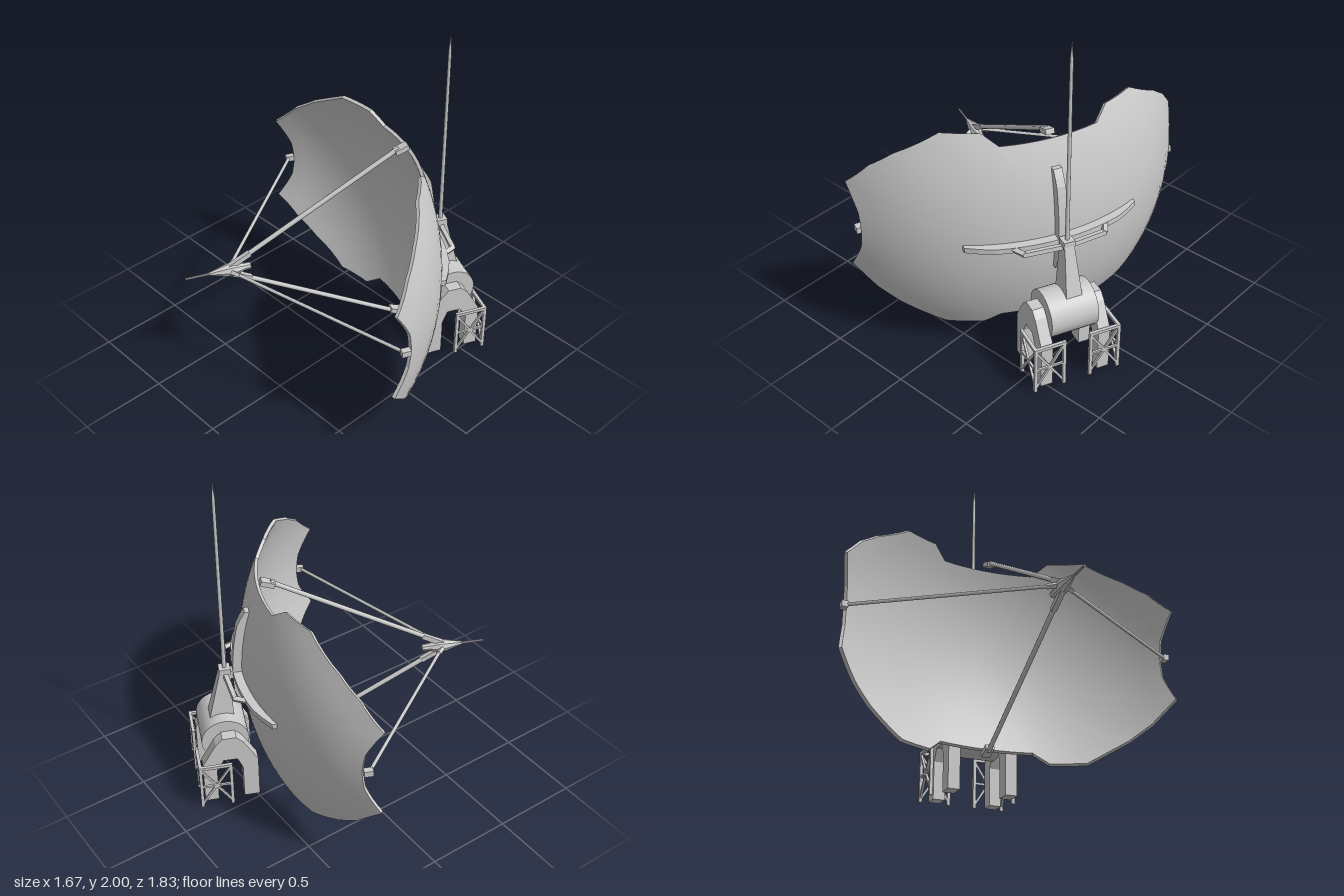
import * as THREE from 'three';

const mat = new THREE.MeshStandardMaterial({ color: 0xcccccc });
const flat = new THREE.MeshStandardMaterial({ color: 0xcccccc, flatShading: true });
const V = (x, y, z) => new THREE.Vector3(x, y, z);

// Depth of the reflector's back surface at (u, y)
const CZ = 0.634, R = 1.184, FLAT = 0.88;
const dishZ = (u, y) => CZ - Math.sqrt(R * R - u * u - (FLAT * y) ** 2);

function add(parent, name, geo, material = mat) {
  const m = new THREE.Mesh(geo, material);
  m.name = name;
  parent.add(m);
  return m;
}

function box(parent, name, w, h, d, x, y, z) {
  const m = add(parent, name, new THREE.BoxGeometry(w, h, d), flat);
  m.position.set(x, y, z);
  return m;
}

// Straight square or round bar between two points
function bar(parent, name, a, b, r, sides = 4, r2 = r) {
  const geo = new THREE.CylinderGeometry(r2, r, a.distanceTo(b), sides);
  if (sides === 4) geo.rotateY(Math.PI / 4);
  const m = add(parent, name, geo, sides === 4 ? flat : mat);
  m.position.copy(a).add(b).multiplyScalar(0.5);
  m.quaternion.setFromUnitVectors(V(0, 1, 0), b.clone().sub(a).normalize());
  return m;
}

// Profile extruded symmetrically about z = 0
function slab(points, depth) {
  const shape = new THREE.Shape(points.map(p => new THREE.Vector2(p[0], p[1])));
  return new THREE.ExtrudeGeometry(shape, { depth, bevelEnabled: false }).translate(0, 0, -depth / 2);
}

// Curved rib following the back of the reflector; at(t) gives the surface depth
function ribProfile(t0, t1, at, height) {
  const top = [], low = [], n = 14;
  for (let i = 0; i <= n; i++) {
    const t = t0 + (t1 - t0) * i / n;
    const taper = Math.min(1, 0.5 + 4 * Math.min(i, n - i) / n);
    top.push([t, at(t) + 0.01]);
    low.unshift([t, at(t) - height * taper]);
  }
  return top.concat(low);
}

// Curved shell with a notched outline
function reflector(parent) {
  const quarter = [[0.95, 0], [0.955, 0.115], [0.988, 0.275], [0.88, 0.41], [0.77, 0.5],
    [0.552, 0.63], [0.36, 0.63], [0.28, 0.56], [0, 0.56]];
  const half = quarter.concat(quarter.slice(0, -1).reverse().map(([u, y]) => [-u, y]));
  const corners = half.slice(0, -1).concat(half.slice(0, -1).map(([u, y]) => [-u, -y]));
  const loop = [], SUB = 4, RINGS = 14;
  corners.forEach((a, i) => {
    const b = corners[(i + 1) % corners.length];
    for (let s = 0; s < SUB; s++)
      loop.push([a[0] + (b[0] - a[0]) * s / SUB, a[1] + (b[1] - a[1]) * s / SUB]);
  });
  const N = loop.length, inner = 0.984;
  const point = (j, f, k) => {
    const u = loop[j % N][0] * f, y = loop[j % N][1] * f;
    return [u * k, y * k, CZ + (dishZ(u, y) - CZ) * k];
  };
  const build = (pos, idx) => {
    const g = new THREE.BufferGeometry();
    g.setAttribute('position', new THREE.Float32BufferAttribute(pos, 3));
    g.setIndex(idx);
    g.computeVertexNormals();
    return g;
  };
  for (const [name, k, front] of [['reflectorFront', inner, true], ['reflectorBack', 1, false]]) {
    const pos = point(0, 0, k), idx = [];
    const tri = (a, b, c) => front ? idx.push(a, b, c) : idx.push(a, c, b);
    for (let r = 1; r <= RINGS; r++)
      for (let j = 0; j < N; j++) {
        pos.push(...point(j, r / RINGS, k));
        const o = 1 + (r - 1) * N, p = o - N, n = (j + 1) % N;
        if (r === 1) tri(0, o + j, o + n);
        else { tri(p + j, o + j, o + n); tri(p + j, o + n, p + n); }
      }
    add(parent, name, build(pos, idx));
  }
  const pos = [], idx = [];
  for (let j = 0; j < N; j++) {
    const o = j * 4;
    pos.push(...point(j, 1, inner), ...point(j, 1, 1), ...point(j + 1, 1, 1), ...point(j + 1, 1, inner));
    idx.push(o, o + 1, o + 2, o, o + 2, o + 3);
  }
  add(parent, 'reflectorRim', build(pos, idx), flat);
}

// Open lattice panel between two ground points
function truss(parent, a, b, h) {
  const g = new THREE.Group();
  g.name = 'trussPanel';
  parent.add(g);
  const at = (t, y) => a.clone().lerp(b, t).setY(y);
  const r = 0.013;
  for (const t of [0, 1]) bar(g, 'trussPost', at(t, 0), at(t, h), r);
  bar(g, 'trussTopRail', at(0, h - 0.01), at(1, h - 0.01), r);
  bar(g, 'trussMidRail', at(0, h / 2), at(1, h / 2), 0.009);
  bar(g, 'trussDiagonal', at(0, 0.02), at(1, h - 0.02), 0.009);
  bar(g, 'trussDiagonal', at(1, 0.02), at(0, h - 0.02), 0.009);
}

export function createModel() {
  const model = new THREE.Group();
  model.name = 'dishAntenna';
  const body = new THREE.Group(); // local +z is the aim of the dish
  body.name = 'antennaBody';
  body.position.set(-0.045, 0, -0.01);
  body.rotation.y = -1.986;
  model.add(body);

  // Reflector and its back ribs
  const dish = new THREE.Group();
  dish.name = 'dish';
  dish.position.y = 0.775;
  body.add(dish);
  reflector(dish);
  add(dish, 'horizontalRib',
    slab(ribProfile(-0.51, 0.51, t => dishZ(t, 0), 0.05), 0.032).rotateX(Math.PI / 2), flat);
  const upright = ribProfile(-0.205, 0.415, t => dishZ(0, t), 0.05).map(([t, z]) => [z, t]);
  add(dish, 'verticalRib', slab(upright, 0.05).rotateY(-Math.PI / 2), flat);

  // Feed horn with its needle
  const profile = [[0, 0.5], [0.02, 0.5], [0.022, 0.54], [0.04, 0.6], [0.034, 0.64],
    [0.012, 0.73], [0.007, 0.74], [0.006, 0.87], [0, 0.87]].map(p => new THREE.Vector2(...p));
  add(dish, 'feedHorn', new THREE.LatheGeometry(profile, 8).rotateX(Math.PI / 2), flat);

  // Four feed struts with brackets at the rim
  for (const s of [-1, 1]) {
    bar(dish, 'sideStrut', V(s * 0.05, 0, 0.595), V(s * 0.962, 0, -0.04), 0.01, 8);
    bar(dish, 'sideStrutFoot', V(s * 0.02, 0, 0.62), V(s * 0.07, 0, 0.58), 0.016);
    box(dish, 'sideBracket', 0.035, 0.035, 0.05, s * 0.955, 0, -0.04);
    bar(dish, 'verticalStrut', V(0, s * 0.03, 0.6), V(0, s * 0.58, -0.37), 0.014, 8);
    bar(dish, 'verticalStrutFoot', V(0, s * 0.02, 0.62), V(0, s * 0.085, 0.5), 0.02);
    const b = box(dish, 'rimBracket', 0.05, 0.03, 0.08, 0, s * 0.575, -0.385);
    b.rotation.x = s * 0.35;
    // Braces from the pylon head to the horizontal rib
    bar(dish, 'ribBrace', V(0, 0, -0.645), V(s * 0.24, 0, -0.62), 0.018);
    bar(dish, 'ribBraceEnd', V(s * 0.235, 0, -0.625), V(s * 0.29, 0, -0.52), 0.018);
  }
  box(dish, 'dishMount', 0.05, 0.05, 0.12, 0, 0, -0.6);

  // Tapered pylon, widening backwards towards the drum
  const pylon = new THREE.BoxGeometry(1, 1, 1);
  const p = pylon.attributes.position;
  for (let i = 0; i < p.count; i++) {
    const top = p.getY(i) > 0;
    p.setXYZ(i, p.getX(i) * (top ? 0.055 : 0.1), top ? 0.8 : 0.45,
      p.getZ(i) * (top ? 0.06 : 0.15) - (top ? 0.645 : 0.685));
  }
  add(body, 'pylon', pylon, flat);
  box(body, 'pylonCap', 0.065, 0.04, 0.065, 0, 0.8, -0.645);

  // Mast with pointed tip
  bar(body, 'mast', V(0, 0.8, -0.645), V(0, 1.9, -0.645), 0.012, 10, 0.009);
  bar(body, 'mastTip', V(0, 1.9, -0.645), V(0, 2, -0.645), 0.009, 10, 0.001);

  // Base: drum, arched legs and corner trusses
  const base = new THREE.Group();
  base.name = 'base';
  base.position.set(0.02, 0, 0);
  body.add(base);
  const drum = add(base, 'drum', new THREE.CylinderGeometry(0.137, 0.137, 0.28, 32).rotateZ(Math.PI / 2));
  drum.position.set(0, 0.385, -0.675);
  const arch = [[-0.5, 0], [-0.5, 0.27], [-0.58, 0.41], [-0.62, 0.45], [-0.7, 0.45], [-0.74, 0.41],
    [-0.82, 0.27], [-0.82, 0], [-0.74, 0], [-0.74, 0.22], [-0.7, 0.29], [-0.62, 0.29], [-0.59, 0.22], [-0.59, 0]];
  for (const s of [-1, 1]) {
    const leg = add(base, 'archedLeg', slab(arch, 0.07).rotateY(-Math.PI / 2), flat);
    leg.position.x = s * 0.172;
    truss(base, V(s * 0.25, 0, -0.665), V(s * 0.25, 0, -0.84), 0.3);
    truss(base, V(s * 0.25, 0, -0.84), V(s * 0.08, 0, -0.84), 0.3);
  }
  return model;
}
